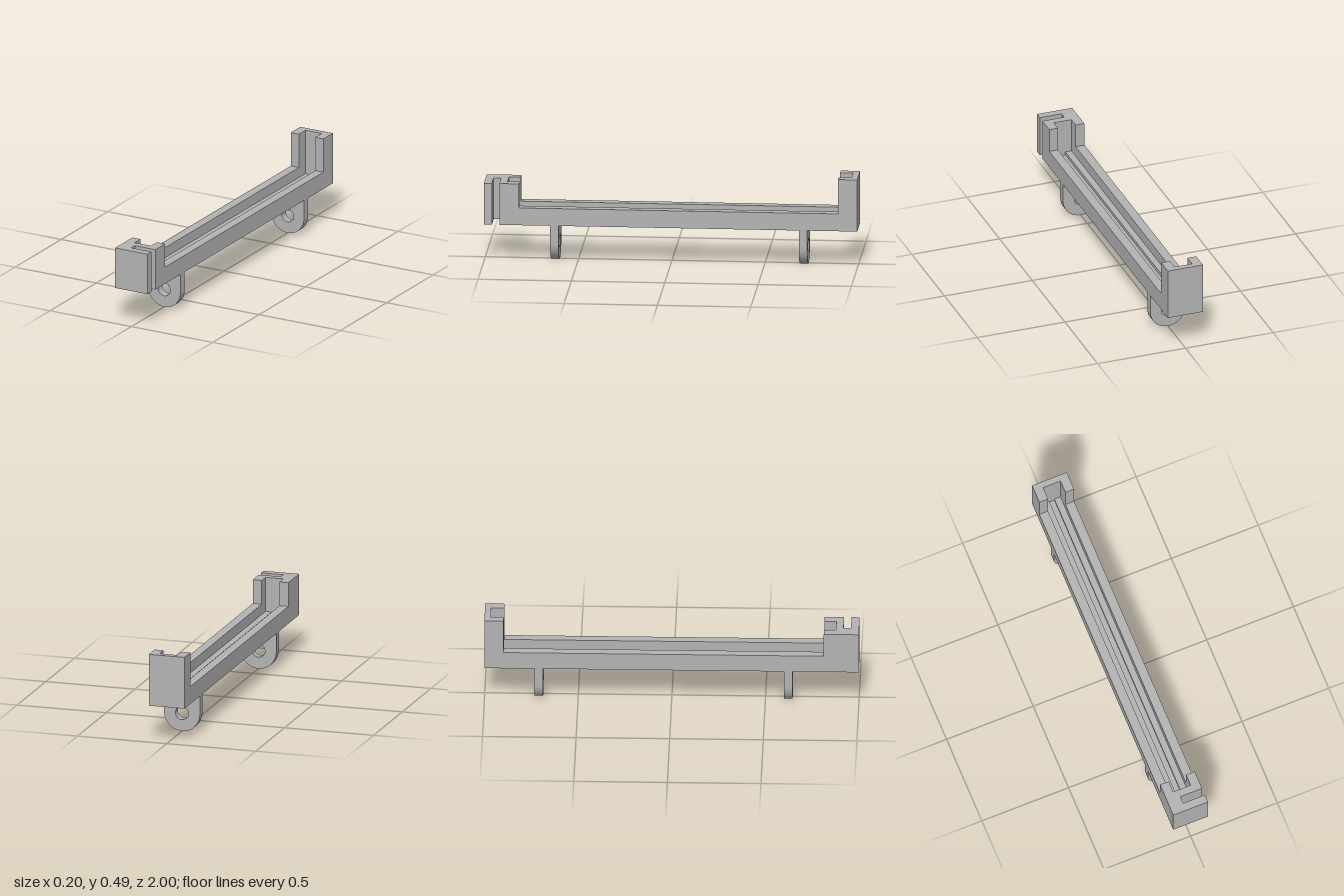
import * as THREE from 'three';

const BASE = 0.202, RAIL_TOP = 0.297, FLOOR = 0.24, GROOVE = 0.222;
const HALF = 0.1, SLOT = 0.05, GROOVE_HALF = 0.015;
const BACK_IN = -0.967, FRONT_IN = 0.877; // ends of the channel

export function createModel() {
  const group = new THREE.Group();
  const grey = new THREE.MeshStandardMaterial({ color: 0xb3b3b3 });
  grey.name = 'grey plastic';

  const add = (name, geometry) => {
    const mesh = new THREE.Mesh(geometry, grey);
    mesh.name = name;
    group.add(mesh);
    return mesh;
  };
  const outline = (pts) => new THREE.Shape(pts.map(([x, y]) => new THREE.Vector2(x, y)));
  const extrude = (shape, depth) =>
    new THREE.ExtrudeGeometry(shape, { depth, bevelEnabled: false, curveSegments: 24 });

  // Extrudes an [x, z] footprint upwards from y0 to y1
  const upright = (name, pts, y0, y1) => {
    const g = extrude(outline(pts.map(([x, z]) => [x, -z])), y1 - y0);
    g.rotateX(-Math.PI / 2).translate(0, y0, 0);
    return add(name, g);
  };
  const rect = (x0, x1, z0, z1) => [[x0, z0], [x1, z0], [x1, z1], [x0, z1]];

  // Rail with a channel and a narrower groove in its floor
  const rail = extrude(outline([
    [-HALF, BASE], [HALF, BASE], [HALF, RAIL_TOP], [SLOT, RAIL_TOP], [SLOT, FLOOR],
    [GROOVE_HALF, FLOOR], [GROOVE_HALF, GROOVE], [-GROOVE_HALF, GROOVE], [-GROOVE_HALF, FLOOR],
    [-SLOT, FLOOR], [-SLOT, RAIL_TOP], [-HALF, RAIL_TOP],
  ]), FRONT_IN - BACK_IN);
  rail.translate(0, 0, BACK_IN);
  add('channelRail', rail);

  // Back end wall, and front end block with a slot open on its left side
  upright('backWall', rect(-HALF, HALF, -1, BACK_IN), BASE, 0.486);
  upright('frontSlottedBlock', [
    [-HALF, FRONT_IN], [HALF, FRONT_IN], [HALF, 0.917], [-0.025, 0.917],
    [-0.025, 0.957], [HALF, 0.957], [HALF, 1], [-HALF, 1],
  ], BASE, 0.429);

  // Posts on both sides of the channel at each end
  for (const [side, x0, x1] of [['left', SLOT, HALF], ['right', -HALF, -SLOT]]) {
    upright(side + 'BackPost', rect(x0, x1, BACK_IN, -0.897), RAIL_TOP, 0.486);
    upright(side + 'FrontPost', rect(x0, x1, 0.813, FRONT_IN), RAIL_TOP, 0.429);
  }

  // Round-ended mounting lugs with a bolt hole
  const lug = new THREE.Shape();
  lug.moveTo(HALF, BASE);
  lug.lineTo(-HALF, BASE);
  lug.lineTo(-HALF, 0.1);
  lug.absarc(0, 0.1, HALF, Math.PI, Math.PI * 2, false);
  lug.lineTo(HALF, BASE);
  const hole = new THREE.Path();
  hole.absarc(0, 0.1, 0.037, 0, Math.PI * 2, true);
  lug.holes.push(hole);
  add('frontLug', extrude(lug, 0.045)).position.z = 0.6;
  add('backLug', extrude(lug, 0.045)).position.z = -0.732;

  return group;
}
